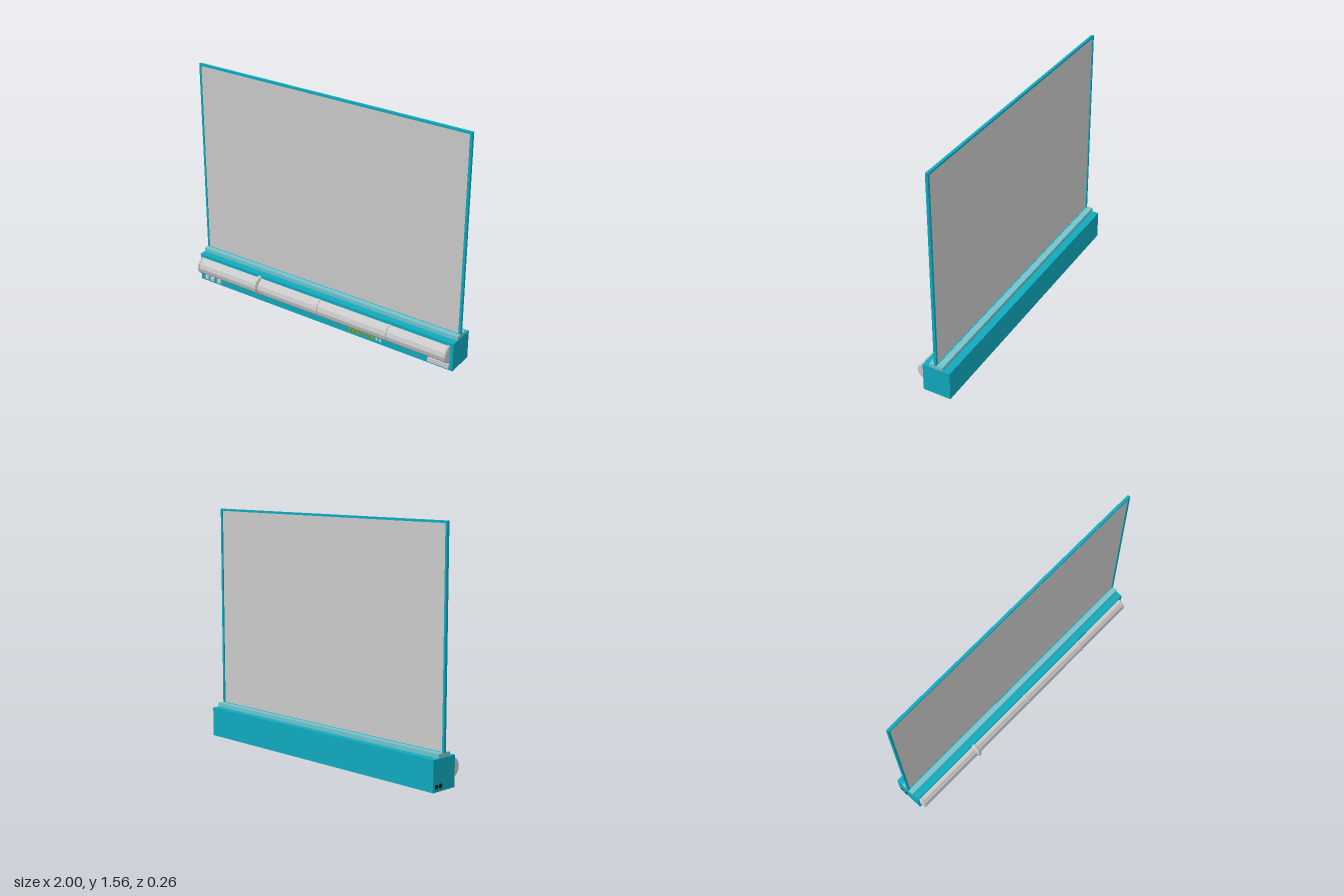
import * as THREE from 'three';

const mat = (color, flatShading = false) => new THREE.MeshStandardMaterial({ color, flatShading });

export function createModel() {
  const model = new THREE.Group();
  const teal = mat(0x0fabbf), paleTeal = mat(0x74c3cd), grey = mat(0xcccccc);
  const facetGrey = mat(0xcccccc, true), black = mat(0x151515), olive = mat(0x8c9a1c);

  const add = (name, geometry, material, x, y, z) => {
    const mesh = new THREE.Mesh(geometry, material);
    mesh.name = name;
    mesh.position.set(x, y, z);
    model.add(mesh);
    return mesh;
  };
  // Box given by its limits on each axis
  const box = (name, material, [x0, x1], [y0, y1], [z0, z1]) =>
    add(name, new THREE.BoxGeometry(x1 - x0, y1 - y0, z1 - z0), material,
      (x0 + x1) / 2, (y0 + y1) / 2, (z0 + z1) / 2);

  // Base and the stepped ledge that holds the screen
  box('base', teal, [-1, 1], [0, 0.195], [-0.133, 0.057]);
  box('screenLedge', paleTeal, [-1, 1], [0.195, 0.222], [-0.085, 0.01]);

  // Screen pane inside a thin rectangular frame
  const outline = new THREE.Shape();
  outline.moveTo(-1, 0.222).lineTo(1, 0.222).lineTo(1, 1.557).lineTo(-1, 1.557).closePath();
  const opening = new THREE.Path();
  opening.moveTo(-0.986, 0.223).lineTo(-0.986, 1.543).lineTo(0.984, 1.543).lineTo(0.984, 0.223).closePath();
  outline.holes.push(opening);
  add('screenFrame', new THREE.ExtrudeGeometry(outline, { depth: 0.018, bevelEnabled: false }),
    teal, 0, 0, -0.043);
  box('screenPane', grey, [-0.987, 0.985], [0.222, 1.544], [-0.036, -0.029]);

  // Long faceted tube along the front, half sunk into the base
  const tube = add('frontTube', new THREE.CylinderGeometry(0.06, 0.06, 1.95, 12), facetGrey, -0.005, 0.114, 0.051);
  tube.rotation.z = Math.PI / 2;

  // Rounded bands around the tube: position, radius, half width, height
  const band = (x, r, w, y, z) => {
    const profile = [[0, -w], [r - 0.008, -w], [r, -w * 0.5], [r, w * 0.5], [r - 0.008, w], [0, w]];
    const ring = add('tubeBand',
      new THREE.LatheGeometry(profile.map(([a, b]) => new THREE.Vector2(a, b)), 16), facetGrey, x, y, z);
    ring.rotation.z = Math.PI / 2;
  };
  for (const x of [-0.978, 0.01, 0.54, 0.966]) band(x, 0.064, 0.011, 0.115, 0.05);
  band(-0.482, 0.068, 0.015, 0.122, 0.059);

  // Push buttons at the right end of the front
  for (const x of [-0.943, -0.895, -0.837])
    box('button', grey, [x - 0.014, x + 0.014], [0.018, 0.044], [0.05, 0.07]);

  // Row of indicator lights, then two small grey ones
  for (let i = 0; i < 7; i++) {
    const x = 0.246 + i * 0.0285;
    box('indicatorLight', olive, [x - 0.01, x + 0.01], [0.02, 0.042], [0.05, 0.061]);
  }
  for (const x of [0.45, 0.478])
    box('smallIndicator', grey, [x - 0.007, x + 0.007], [0.021, 0.041], [0.05, 0.061]);

  // Plate at the left end of the front
  box('frontPlate', grey, [0.83, 0.98], [0.018, 0.046], [0.05, 0.073]);

  // Sockets on the right end
  for (const z of [-0.105, -0.07]) {
    const socket = add('socket', new THREE.CylinderGeometry(0.014, 0.014, 0.01, 12), black, -0.998, 0.032, z);
    socket.rotation.z = Math.PI / 2;
  }
  return model;
}
